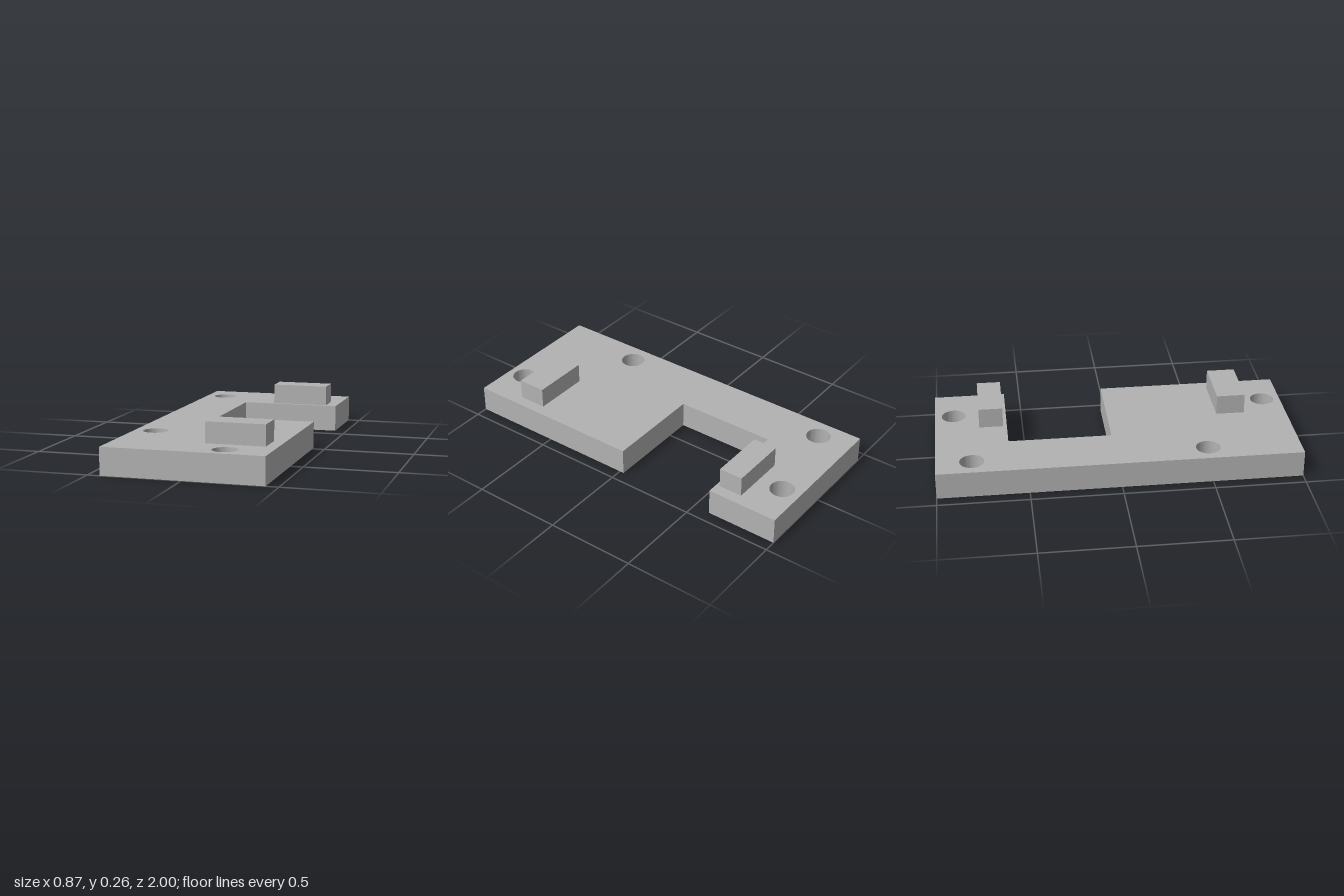
import * as THREE from 'three';
import { toCreasedNormals } from 'three/addons/utils/BufferGeometryUtils.js';

const THICKNESS = 0.149;
const TOP = 0.262;

export function createModel() {
  const model = new THREE.Group();
  model.name = 'mountingBracket';
  const grey = new THREE.MeshStandardMaterial({ color: 0xb2b2b2 });
  grey.name = 'plain grey';

  // C-shaped plate outline, drawn as (x, z)
  const outline = [
    [-0.433, 1], [0.433, 1], [0.433, -0.025], [-0.125, -0.025],
    [-0.125, -0.597], [0.433, -0.597], [0.433, -1], [-0.433, -1],
  ];
  const shape = new THREE.Shape(outline.map(([x, z]) => new THREE.Vector2(x, -z)));

  // Screw holes right through the plate
  for (const [x, z] of [[-0.318, -0.803], [0.195, -0.893], [-0.318, 0.486], [0.195, 0.896]]) {
    shape.holes.push(new THREE.Path().absarc(x, -z, 0.067, 0, Math.PI * 2, true));
  }

  const plateGeometry = new THREE.ExtrudeGeometry(shape, {
    depth: THICKNESS, bevelEnabled: false, curveSegments: 24,
  }).rotateX(-Math.PI / 2);
  const plate = new THREE.Mesh(toCreasedNormals(plateGeometry, Math.PI / 6), grey);
  plate.name = 'plate';
  model.add(plate);

  // Raised locating blocks on the plate
  const addBlock = (name, z0, z1) => {
    const block = new THREE.Mesh(new THREE.BoxGeometry(0.322, TOP - THICKNESS, z1 - z0), grey);
    block.name = name;
    block.position.set(0.209, (TOP + THICKNESS) / 2, (z0 + z1) / 2);
    model.add(block);
  };
  addBlock('frontBlock', 0.6, 0.76);
  addBlock('backBlock', -0.752, -0.618);

  return model;
}
